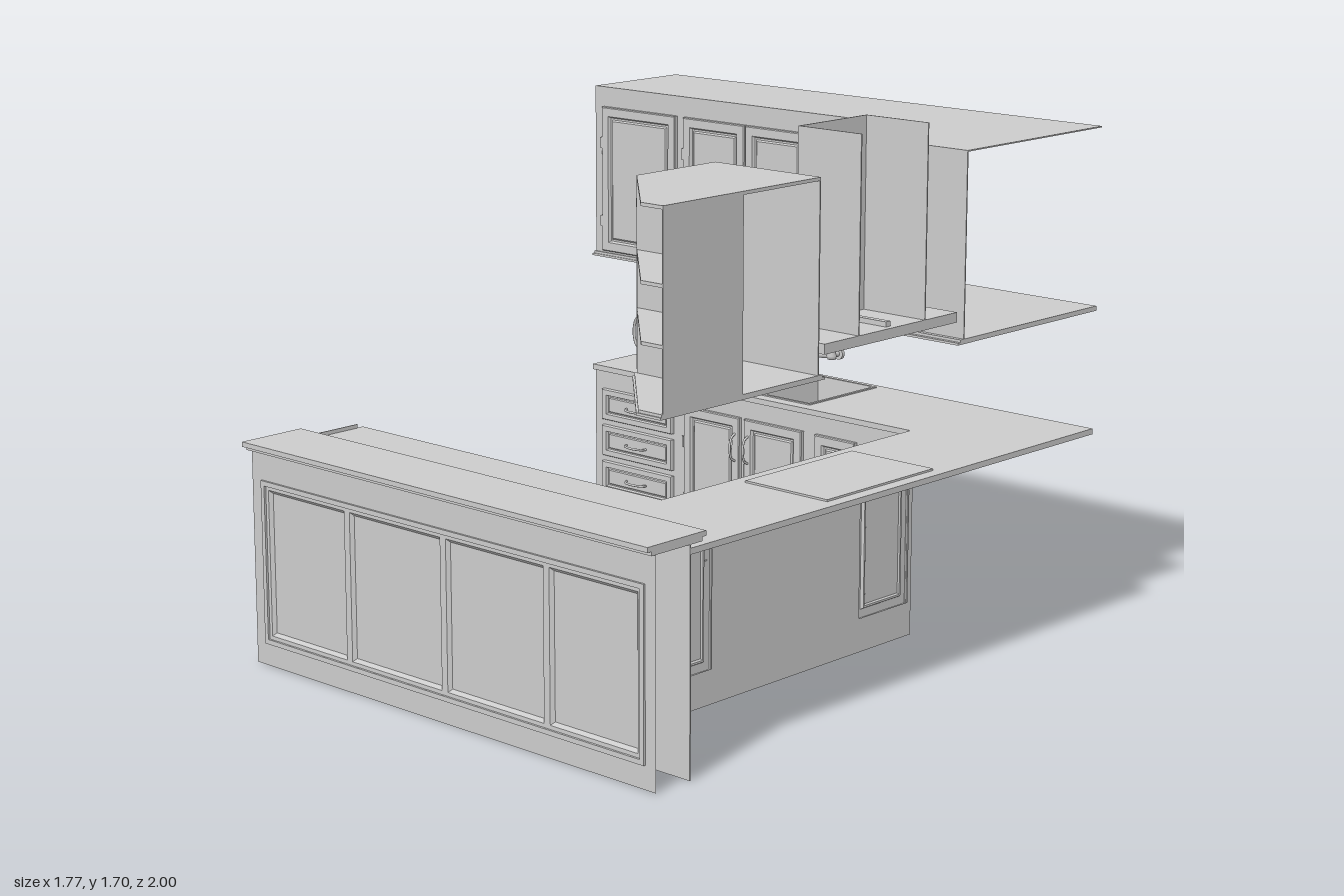
import * as THREE from 'three';

const mat = new THREE.MeshStandardMaterial({ color: 0xcccccc, side: THREE.DoubleSide });
const V = (x, y, z) => new THREE.Vector3(x, y, z);

function add(parent, name, geo, x = 0, y = 0, z = 0) {
  const m = new THREE.Mesh(geo, mat);
  m.name = name;
  m.position.set(x, y, z);
  parent.add(m);
  return m;
}

// Box given by its limits on each axis
function box(parent, name, x0, x1, y0, y1, z0, z1) {
  return add(parent, name, new THREE.BoxGeometry(x1 - x0, y1 - y0, z1 - z0),
    (x0 + x1) / 2, (y0 + y1) / 2, (z0 + z1) / 2);
}

function rectPath(u0, u1, v0, v1, Type = THREE.Path) {
  return new Type([[u0, v0], [u1, v0], [u1, v1], [u0, v1]].map(p => new THREE.Vector2(...p)));
}

// Horizontal slab from [x, z] corners
function slab(parent, name, pts, y0, y1, hole) {
  const s = new THREE.Shape(pts.map(([x, z]) => new THREE.Vector2(x, -z)));
  if (hole) s.holes.push(rectPath(hole[0], hole[1], -hole[3], -hole[2]));
  const g = new THREE.ExtrudeGeometry(s, { depth: y1 - y0, bevelEnabled: false });
  return add(parent, name, g.rotateX(-Math.PI / 2), 0, y0, 0);
}

// Moulded rectangle: nested rings of [inset, depth], closed by a flat centre
function panelGeometry(w, h, profile) {
  const pos = [];
  const ring = ([i, d]) => {
    const a = w / 2 - i, b = h / 2 - i;
    return [[-a, -b, d], [a, -b, d], [a, b, d], [-a, b, d]];
  };
  const quad = (a, b, c, d) => pos.push(...a, ...b, ...c, ...a, ...c, ...d);
  for (let k = 0; k < profile.length - 1; k++) {
    const o = ring(profile[k]), n = ring(profile[k + 1]);
    for (let j = 0; j < 4; j++) quad(o[j], o[(j + 1) % 4], n[(j + 1) % 4], n[j]);
  }
  quad(...ring(profile[profile.length - 1]));
  const g = new THREE.BufferGeometry();
  g.setAttribute('position', new THREE.Float32BufferAttribute(pos, 3));
  g.computeVertexNormals();
  return g;
}

const doorProfile = [[0, 0], [0, .011], [.003, .014], [.03, .014], [.035, .005], [.041, .005], [.046, .009], [.05, .009]];
const drawerProfile = doorProfile.map(([i, d]) => [i * .65, d]);

// Bowed pull handle, vertical or horizontal
function handle(parent, x, y, vertical) {
  const l = .045;
  const curve = new THREE.CatmullRomCurve3([[-l, 0], [-l * .8, .016], [0, .025], [l * .8, .016], [l, 0]]
    .map(([a, d]) => vertical ? V(0, a, d) : V(a, 0, d)));
  add(parent, 'handle', new THREE.TubeGeometry(curve, 12, .004, 6), x, y, .013);
}

// Face frame with fronts; front = [u0, u1, v0, v1, handle side (-1, 1) or 0 for a drawer]
function run(parent, name, x, z, angle, u0, u1, v0, v1, fronts, handleLow) {
  const g = new THREE.Group();
  g.name = name;
  g.position.set(x, 0, z);
  g.rotation.y = angle;
  parent.add(g);
  const s = rectPath(u0, u1, v0, v1, THREE.Shape);
  for (const [a, b, c, d, side] of fronts) {
    s.holes.push(rectPath(a + .008, b - .008, c + .008, d - .008));
    const mx = (a + b) / 2, my = (c + d) / 2;
    add(g, side ? 'door' : 'drawer', panelGeometry(b - a, d - c, side ? doorProfile : drawerProfile), mx, my, 0);
    if (!side) { handle(g, mx, my, false); continue; }
    handle(g, side > 0 ? b - .018 : a + .018, handleLow ? c + .1 : d - .1, true);
    for (const hy of [c + .1, d - .12]) {
      const hx = side > 0 ? a - .004 : b + .004;
      box(g, 'hinge', hx - .004, hx + .004, hy - .018, hy + .018, 0, .012);
    }
  }
  add(g, 'faceFrame', new THREE.ShapeGeometry(s));
  return g;
}

const drawers = (a, b) => [.1, .225, .35, .475].map(y => [a, b, y, y + .105, 0]);

export function createModel() {
  const root = new THREE.Group();
  root.name = 'kitchen';
  const T = .004;

  // Lower cabinets
  const low = new THREE.Group();
  low.name = 'lowerCabinets';
  root.add(low);
  run(low, 'backBase', 0, -.605, 0, -.88, .49, 0, .64, [
    ...drawers(-.84, -.52), [-.465, -.22, .1, .58, 1], [-.2, .045, .1, .58, -1],
    [.1, .265, .1, .58, 1], [.3, .48, .1, .58, 1]]);
  box(low, 'backBaseEnd', -.88, -.88 + T, 0, .64, -1, -.605);
  const side = run(low, 'sideBase', .49, 0, -Math.PI / 2, -.605, .535, 0, .64, [
    [-.595, -.345, .1, .58, 1], [.31, .535, .1, .58, -1]]);
  run(low, 'peninsulaBase', 0, .535, Math.PI, -.49, .36, 0, .64, [
    [-.475, -.31, .1, .58, -1], ...drawers(-.28, .06), [.1, .33, .1, .58, 1]]);
  box(low, 'kneeSpaceSide', -.36, -.36 + T, 0, .64, .535, .83);
  box(low, 'peninsulaBack', -.785, .88, 0, .67, .83, .83 + T);
  box(low, 'peninsulaEnd', -.785, -.785 + T, 0, .67, .55, .965);

  // Stove front and cooktop
  box(side, 'ovenDoor', -.28, .24, .17, .54, .001, .004);
  box(side, 'stoveControls', -.28, .24, .55, .63, .001, .004);
  box(low, 'cooktop', .53, .84, .655, .664, -.26, .22);

  // Panelled front of the bar
  const front = rectPath(-.785, .88, 0, .67, THREE.Shape);
  front.holes.push(rectPath(-.74, .84, .07, .58));
  add(low, 'barFront', new THREE.ShapeGeometry(front), 0, 0, .967);
  const rim = rectPath(-.74, .84, .07, .58, THREE.Shape);
  rim.holes.push(rectPath(-.725, .825, .085, .565));
  add(low, 'barMoulding', new THREE.ExtrudeGeometry(rim, { depth: .014, bevelEnabled: false }), 0, 0, .96);
  const stops = [-.725, -.36, .05, .465, .825];
  for (let i = 0; i < 4; i++) {
    const a = stops[i], b = stops[i + 1];
    add(low, 'barPanel', panelGeometry(b - a, .48, [[0, .967], [.012, .967], [.022, .957], [.024, .957]]), (a + b) / 2, .325, 0);
  }

  // Worktop and raised bar top
  slab(low, 'worktop', [[-.885, -1], [.88, -1], [.88, .83], [-.785, .83], [-.785, .525], [.485, .525],
    [.485, -.595], [-.885, -.595]], .64, .658, [-.455, .04, -.97, -.64]);
  box(low, 'barTop', -.79, .88, .68, .695, .77, 1);
  box(low, 'barTopTrim', -.787, .88, .668, .68, .785, .985);

  // Double sink
  for (const x of [-.33, -.085]) {
    const basin = panelGeometry(.25, .335, [[0, -.1], [0, 0], [.01, 0], [.016, -.092], [.02, -.096]]);
    add(low, 'sinkBasin', basin.rotateX(-Math.PI / 2), x, .662, -.805);
  }

  // Wall tap with swan neck
  const tap = new THREE.Group();
  tap.name = 'tap';
  tap.position.x = -.207;
  root.add(tap);
  const pipe = (name, pts, r) => add(tap, name, new THREE.TubeGeometry(
    new THREE.CatmullRomCurve3(pts.map(p => V(...p))), 32, r, 10));
  pipe('neck', [[0, .74, -.955], [0, .8, -.955], [0, .88, -.955], [0, .93, -.935], [0, .948, -.895],
    [0, .93, -.85], [0, .89, -.833], [0, .845, -.831]], .008);
  pipe('crossBar', [[-.075, .743, -.955], [0, .738, -.955], [.075, .743, -.955]], .011);
  add(tap, 'neckCollar', new THREE.CylinderGeometry(.012, .017, .04, 12), 0, .76, -.955);
  add(tap, 'spoutTip', new THREE.CylinderGeometry(.009, .012, .02, 12), 0, .845, -.831);
  const post = [[0, 0], [.014, 0], [.017, .012], [.011, .028], [.014, .045], [.008, .06], [0, .063]]
    .map(p => new THREE.Vector2(...p));
  for (const s of [-1, 1]) {
    add(tap, 'valve', new THREE.LatheGeometry(post, 12), s * .07, .73, -.955);
    pipe('lever', [[s * .07, .788, -.955], [s * .095, .792, -.95], [s * .12, .79, -.945]], .007);
    add(tap, 'wallFlange', new THREE.CylinderGeometry(.02, .02, .012, 14), s * .07, .743, -.992).rotation.x = Math.PI / 2;
    pipe('wallPipe', [[s * .07, .743, -.99], [s * .07, .743, -.955]], .009);
  }

  // Upper cabinets, L shaped
  const up = new THREE.Group();
  up.name = 'upperCabinets';
  root.add(up);
  const y0 = 1.045, d0 = 1.053, d1 = 1.535;
  const ell = e => [[-.88 - e, -1], [.88, -1], [.88, -.34 + e * 3], [.49 - e, -.34 + e * 3], [.49 - e, -.61 + e], [-.88 - e, -.61 + e]];
  slab(up, 'upperTop', ell(0), 1.6 - T, 1.6);
  slab(up, 'upperBottom', ell(.005), 1.037, y0);
  slab(up, 'upperBottomTrim', ell(.009), 1.03, 1.037);
  run(up, 'backUppers', 0, -.61, 0, -.88, .49, y0, 1.6, [
    [-.84, -.51, d0, d1, 1], [-.475, -.21, d0, d1, 1], [-.205, .055, d0, d1, -1],
    [.085, .25, d0, d1, -1], [.285, .482, d0, d1, 1]], true);
  run(up, 'sideUpper', .49, 0, -Math.PI / 2, -.61, -.34, y0, 1.6, [[-.595, -.345, d0, d1, 1]], true);
  box(up, 'upperLeftEnd', -.88, -.88 + T, y0, 1.6, -1, -.61);
  box(up, 'upperSideEnd', .49, .88, y0, 1.6, -.34 - T, -.34);
  for (const [a, b, c, d] of [[-.63, -.27, -.86, -.76], [-.02, .33, -.86, -.76], [.62, .72, -.65, -.42], [.62, .72, .42, .65]])
    box(up, 'cabinetLight', a, b, 1.022, 1.03, c, d);

  // Corner cabinet with open angled shelves
  const corner = new THREE.Group();
  corner.name = 'cornerCabinet';
  root.add(corner);
  const penta = e => [[.49 - e, .31 - e * 3], [.49 - e, .63 + e], [.8 - e, .94 + e], [.88, .94 + e], [.88, .31 - e * 3]];
  slab(corner, 'cornerTop', penta(0), 1.59, 1.6);
  slab(corner, 'cornerBottom', penta(.005), 1.037, y0);
  slab(corner, 'cornerBottomTrim', penta(.009), 1.03, 1.037);
  for (const y of [1.22, 1.383])
    slab(corner, 'shelf', [[.49, .63], [.8, .94], [.88, .94], [.88, .63]], y, y + .01);
  run(corner, 'cornerFace', .49, 0, -Math.PI / 2, .31, .63, y0, 1.6, [[.313, .62, d0, d1, 1]], true);
  box(corner, 'shelfBack', .49, .88, y0, 1.59, .63 - T, .63);
  box(corner, 'shelfSide', .88 - T, .88, y0, 1.59, .63, .94);
  box(corner, 'cornerSide', .49, .88, y0, 1.6, .31, .31 + T);

  // Extractor hood with open chimney
  const hood = new THREE.Group();
  hood.name = 'hood';
  root.add(hood);
  box(hood, 'canopy', .43, .88, 1.1, 1.13, -.307, .287);
  box(hood, 'chimneyFront', .65, .65 + T, 1.13, 1.7, -.16, .14);
  for (const z of [-.16, .14 - T]) box(hood, 'chimneySide', .65, .88, 1.13, 1.7, z, z + T);
  for (const z of [-.155, .005]) box(hood, 'filter', .52, .8, 1.094, 1.1, z, z + .14);
  box(hood, 'chimneyDivider', .654, .86, 1.13, 1.145, -.025, -.005);
  return root;
}
